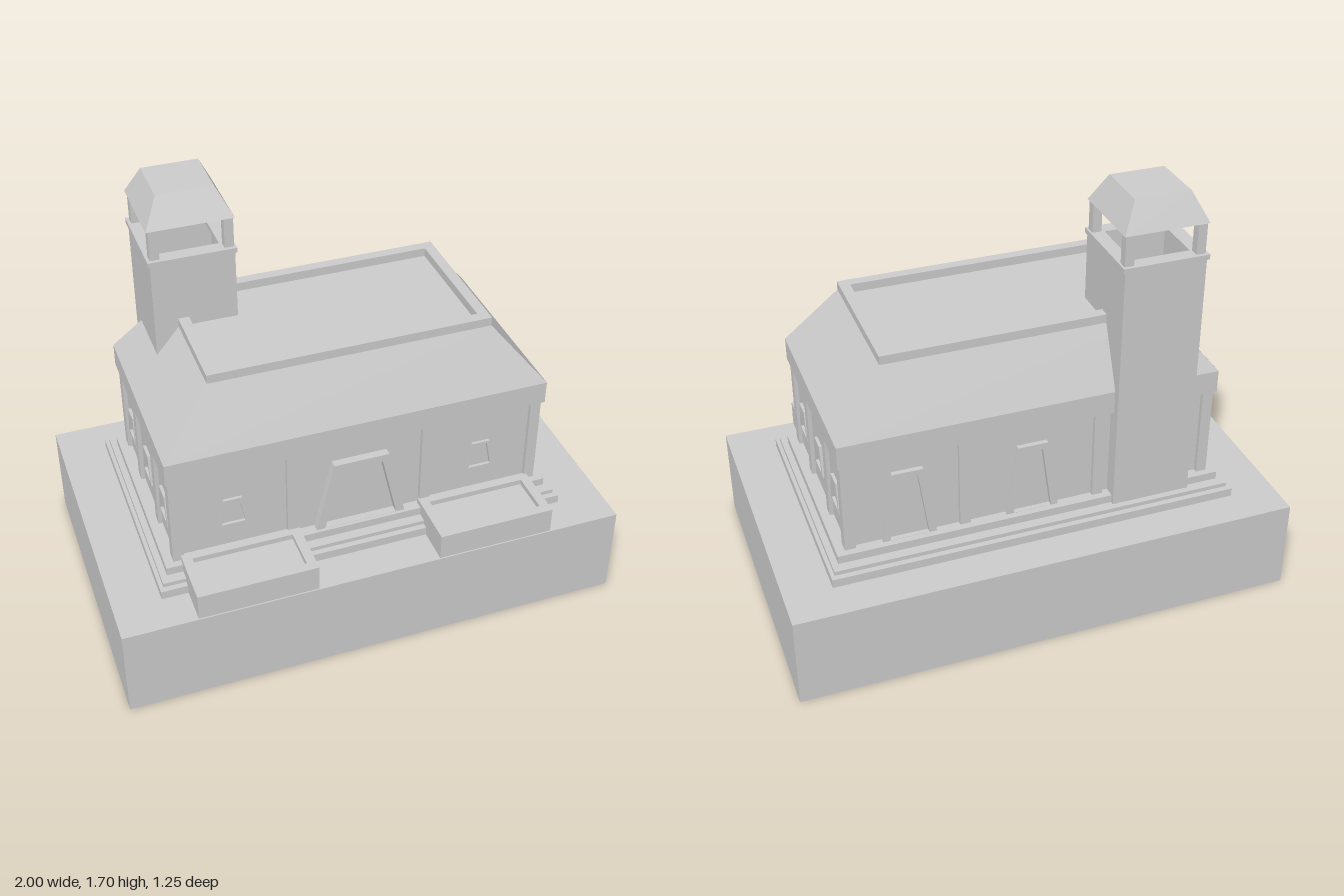
import * as THREE from 'three';

const mat = new THREE.MeshStandardMaterial({ color: 0xcccccc, flatShading: true });
const thin = new THREE.MeshStandardMaterial({ color: 0xcccccc, flatShading: true, side: THREE.DoubleSide });

export function createModel() {
  const model = new THREE.Group();

  function add(name, geo, material = mat, parent = model) {
    const mesh = new THREE.Mesh(geo, material);
    mesh.name = name;
    parent.add(mesh);
    return mesh;
  }

  // Box given by its limits on each axis
  function block(name, x0, x1, y0, y1, z0, z1) {
    const geo = new THREE.BoxGeometry(x1 - x0, y1 - y0, z1 - z0);
    geo.translate((x0 + x1) / 2, (y0 + y1) / 2, (z0 + z1) / 2);
    return add(name, geo);
  }

  // Hollow box: keeps the side walls, and the top if wanted
  function shell(name, x0, x1, y0, y1, z0, z1, withTop) {
    const mesh = block(name, x0, x1, y0, y1, z0, z1);
    const index = Array.from(mesh.geometry.index.array);
    mesh.geometry.setIndex(index.filter((v, i) => i < 12 || i >= 24 || (withTop && i < 18)));
    mesh.geometry.clearGroups();
    mesh.material = thin;
  }

  // Box whose top is drawn in by dx and dz on each side
  function hip(name, x0, x1, y0, y1, z0, z1, dx, dz) {
    const mesh = block(name, x0, x1, y0, y1, z0, z1);
    const p = mesh.geometry.attributes.position;
    const cx = (x0 + x1) / 2, cz = (z0 + z1) / 2, cy = (y0 + y1) / 2;
    for (let i = 0; i < p.count; i++) {
      if (p.getY(i) < cy) continue;
      p.setX(i, p.getX(i) - Math.sign(p.getX(i) - cx) * dx);
      p.setZ(i, p.getZ(i) - Math.sign(p.getZ(i) - cz) * dz);
    }
    mesh.geometry = mesh.geometry.toNonIndexed();
    mesh.geometry.computeVertexNormals();
  }

  // Flat rectangular ring with a border of width w
  function rim(name, x0, x1, y0, y1, z0, z1, w) {
    const rect = (C, i) => {
      const s = new C();
      s.moveTo(x0 + i, -z1 + i);
      s.lineTo(x1 - i, -z1 + i);
      s.lineTo(x1 - i, -z0 - i);
      s.lineTo(x0 + i, -z0 - i);
      s.closePath();
      return s;
    };
    const shape = rect(THREE.Shape, 0);
    shape.holes.push(rect(THREE.Path, w));
    const geo = new THREE.ExtrudeGeometry(shape, { depth: y1 - y0, bevelEnabled: false });
    geo.rotateX(-Math.PI / 2).translate(0, y0, 0);
    add(name, geo);
  }

  // Tapered frame: bottom and top half widths, limits in y, border w
  function taperFrame(name, b, t, y0, y1, w, sill, depth, x, z, turn) {
    const shape = new THREE.Shape([[-b, y0], [b, y0], [t, y1], [-t, y1]]
      .map(([u, v]) => new THREE.Vector2(u, v)));
    const bi = b - w * 1.15, ti = t - w * 0.85;
    const hole = [[-bi, y0 + sill], [bi, y0 + sill], [ti, y1 - w], [-ti, y1 - w]];
    shape.holes.push(new THREE.Path(hole.map(([u, v]) => new THREE.Vector2(u, v))));
    const geo = new THREE.ExtrudeGeometry(shape, { depth, bevelEnabled: false });
    const mesh = add(name, geo);
    mesh.position.set(x, 0, z);
    mesh.rotation.y = turn;
  }

  // Plinth and steps, all open below
  shell('plinth', -1, 1, 0, 0.375, -0.625, 0.625, true);
  shell('lowerStep', -0.815, 0.815, 0.04, 0.41, -0.478, 0.478, true);
  shell('middleStep', -0.80, 0.80, 0.07, 0.427, -0.455, 0.455, true);
  shell('upperStep', -0.775, 0.775, 0.1, 0.46, -0.415, 0.415, true);

  // Walls with pilasters
  const wallX = 0.725, wallZ = 0.37;
  block('walls', -wallX, wallX, 0.46, 0.85, -wallZ, wallZ);
  for (const sz of [-1, 1]) {
    for (const x of [-0.72, -0.27, 0.27, 0.72]) {
      block('pilaster', x - 0.021, x + 0.021, 0.46, 0.84, sz * 0.3675 - 0.02, sz * 0.3675 + 0.02);
    }
  }
  for (const sx of [-1, 1]) {
    for (const z of [-0.14, 0.14, -0.362, 0.362]) {
      block('sidePilaster', sx * 0.72 - 0.021, sx * 0.72 + 0.021, 0.46, 0.84, z - 0.022, z + 0.022);
    }
  }

  // Front doorway and two back doorways
  taperFrame('frontDoorFrame', 0.18, 0.11, 0.46, 0.757, 0.03, 0.001, 0.032, 0, wallZ, 0);
  for (const x of [0, 0.49]) {
    taperFrame('backDoorFrame', 0.105, 0.06, 0.46, 0.757, 0.025, 0.001, 0.02, x, -wallZ, Math.PI);
  }

  // Small tapered windows
  for (const s of [-1, 1]) {
    taperFrame('frontWindowFrame', 0.06, 0.036, 0.565, 0.692, 0.012, 0.012, 0.012, s * 0.5, wallZ, 0);
    for (const z of [-0.25, 0, 0.25]) {
      taperFrame('sideWindowFrame', 0.06, 0.036, 0.565, 0.692, 0.012, 0.012, 0.012, s * wallX, z, s * Math.PI / 2);
    }
  }

  // Roof: eave band, hipped slopes and parapet
  block('eaveBand', -0.75, 0.75, 0.838, 0.93, -0.4, 0.4);
  hip('hippedRoof', -0.75, 0.75, 0.93, 1.17, -0.4, 0.4, 0.2, 0.107);
  rim('parapet', -0.55, 0.55, 1.168, 1.205, -0.293, 0.293, 0.042);

  // Planters either side of the entrance
  for (const s of [-1, 1]) {
    const x0 = s < 0 ? -0.712 : 0.243, x1 = s < 0 ? -0.246 : 0.709;
    block('planterBed', x0, x1, 0.36, 0.46, 0.38, 0.62);
    rim('planterRim', x0, x1, 0.46, 0.482, 0.38, 0.62, 0.037);
  }

  // Chimney shaft, collar, posts and cap
  shell('chimneyShaft', -0.64, -0.32, 0.11, 1.45, -0.43, -0.09, false);
  rim('chimneyCollar', -0.648, -0.312, 1.445, 1.465, -0.437, -0.085, 0.055);
  for (const x of [-0.618, -0.338]) {
    for (const z of [-0.405, -0.118]) {
      block('chimneyPost', x - 0.018, x + 0.018, 1.46, 1.59, z - 0.018, z + 0.018);
    }
  }
  hip('chimneyCap', -0.644, -0.314, 1.585, 1.697, -0.427, -0.095, 0.056, 0.056);

  return model;
}
